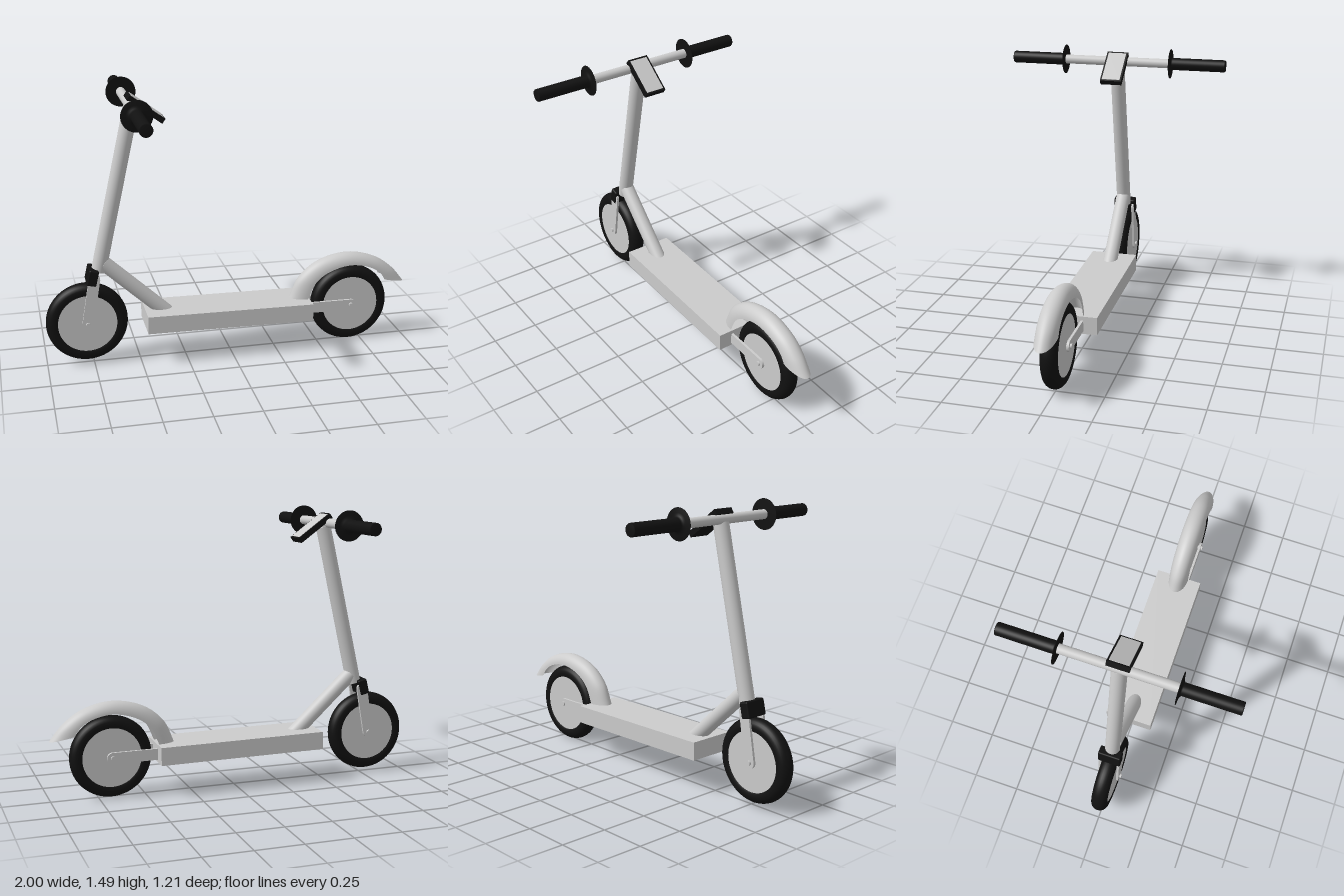
import * as THREE from 'three';
import { RoundedBoxGeometry } from 'three/addons/geometries/RoundedBoxGeometry.js';

const grey = new THREE.MeshStandardMaterial({ color: 0xcccccc });
const greyShell = new THREE.MeshStandardMaterial({ color: 0xcccccc, side: THREE.DoubleSide });
const black = new THREE.MeshStandardMaterial({ color: 0x111111 });
const V2 = (x, y) => new THREE.Vector2(x, y);

function add(parent, name, geometry, material, x = 0, y = 0, z = 0) {
  const mesh = new THREE.Mesh(geometry, material);
  mesh.name = name;
  mesh.position.set(x, y, z);
  parent.add(mesh);
  return mesh;
}

// Round bar between two points in the x-y plane
function bar(parent, name, [x1, y1], [x2, y2], r) {
  const mesh = add(parent, name, new THREE.CylinderGeometry(r, r, Math.hypot(x2 - x1, y2 - y1), 32), grey,
    (x1 + x2) / 2, (y1 + y2) / 2, 0);
  mesh.rotation.z = Math.atan2(y2 - y1, x2 - x1) - Math.PI / 2;
}

// Flat arm with rounded ends, lying in the x-y plane
function armGeometry([x1, y1], [x2, y2], r, depth) {
  const a = Math.atan2(y2 - y1, x2 - x1);
  const shape = new THREE.Shape();
  shape.absarc(x2, y2, r, a - Math.PI / 2, a + Math.PI / 2, false);
  shape.absarc(x1, y1, r, a + Math.PI / 2, a + Math.PI * 1.5, false);
  shape.closePath();
  return new THREE.ExtrudeGeometry(shape, { depth, bevelEnabled: false, curveSegments: 16 })
    .translate(0, 0, -depth / 2);
}

// Wheel: rounded tyre, solid disc, and a bolt on each side
function wheel(name, x, y) {
  const g = new THREE.Group();
  g.name = name;
  g.position.set(x, y, 0);
  const profile = [V2(0.155, -0.038), V2(0.165, -0.043), V2(0.178, -0.043)];
  for (let i = 0; i <= 12; i++) {
    const a = -Math.PI / 2 + (i / 12) * Math.PI;
    profile.push(V2(0.18 + 0.038 * Math.cos(a), 0.043 * Math.sin(a)));
  }
  profile.push(V2(0.165, 0.043), V2(0.155, 0.038));
  add(g, 'tyre', new THREE.LatheGeometry(profile, 64).rotateX(Math.PI / 2), black);
  add(g, 'wheelDisc', new THREE.CylinderGeometry(0.157, 0.157, 0.078, 64).rotateX(Math.PI / 2), grey);
  add(g, 'axle', new THREE.CylinderGeometry(0.012, 0.012, 0.134, 20).rotateX(Math.PI / 2), grey);
  return g;
}

// Mudguard: half-elliptical arch swept between an edge curve and a crest curve
function fenderGeometry() {
  const curve = pts => new THREE.CatmullRomCurve3(pts.map(([x, y]) => new THREE.Vector3(x, y, 0)));
  const edge = curve([[0.43, 0.27], [0.475, 0.365], [0.55, 0.422], [0.675, 0.453], [0.79, 0.43], [0.85, 0.39], [0.875, 0.352]]);
  const crest = curve([[0.337, 0.27], [0.39, 0.385], [0.50, 0.475], [0.67, 0.513], [0.83, 0.475], [0.93, 0.405], [1.0, 0.322]]);
  const rows = 48, cols = 20, position = [], index = [];
  for (let i = 0; i <= rows; i++) {
    const e = edge.getPoint(i / rows), c = crest.getPoint(i / rows);
    for (let j = 0; j <= cols; j++) {
      const a = (j / cols) * Math.PI;
      const p = e.clone().lerp(c, Math.sin(a));
      position.push(p.x, p.y, 0.055 * Math.cos(a));
      if (i < rows && j < cols) {
        const k = i * (cols + 1) + j, n = k + cols + 1;
        index.push(k, n, k + 1, k + 1, n, n + 1);
      }
    }
  }
  const g = new THREE.BufferGeometry();
  g.setAttribute('position', new THREE.Float32BufferAttribute(position, 3));
  g.setIndex(index);
  g.computeVertexNormals();
  return g;
}

export function createModel() {
  const model = new THREE.Group();
  model.name = 'kickScooter';

  // Wheels and mudguard
  const front = [-0.78, 0.24], rear = [0.68, 0.22];
  model.add(wheel('frontWheel', ...front), wheel('rearWheel', ...rear));
  add(model, 'rearFender', fenderGeometry(), greyShell);

  // Deck, tipped very slightly to the rear
  add(model, 'deck', new THREE.BoxGeometry(0.91, 0.096, 0.26), grey, -0.015, 0.23, 0).rotation.z = -0.011;

  // Fork legs and rear arms on both sides
  for (const side of [1, -1]) {
    add(model, 'forkLeg', armGeometry([-0.737, 0.49], front, 0.03, 0.013), grey, 0, 0, side * 0.051);
    add(model, 'rearArm', armGeometry([0.4, 0.222], rear, 0.03, 0.013), grey, 0, 0, side * 0.051);
  }
  add(model, 'forkCrown', new RoundedBoxGeometry(0.052, 0.085, 0.126, 2, 0.008), black, -0.745, 0.499, 0).rotation.z = -0.23;

  // Steering column and down tube
  bar(model, 'stem', [-0.708, 0.52], [-0.512, 1.39], 0.04);
  bar(model, 'downTube', [-0.685, 0.565], [-0.345, 0.25], 0.04);

  // Handlebar with flared grips
  const bars = new THREE.Group();
  bars.name = 'handlebar';
  bars.position.set(-0.525, 1.408, 0);
  model.add(bars);
  add(bars, 'crossbar', new THREE.CylinderGeometry(0.025, 0.025, 1.1, 32).rotateX(Math.PI / 2), grey);
  const grip = [V2(0, 0.298), V2(0.08, 0.299), V2(0.08, 0.301), V2(0.055, 0.304), V2(0.04, 0.308),
    V2(0.033, 0.315), V2(0.033, 0.6), V2(0.03, 0.605), V2(0, 0.605)];
  for (const side of [1, -1]) {
    add(bars, 'grip', new THREE.LatheGeometry(grip, 40).rotateX(side * Math.PI / 2), black);
  }

  // Sloping display with a raised screen
  const display = new THREE.Group();
  display.name = 'display';
  display.position.set(-0.443, 1.384, 0);
  display.rotation.z = -0.63;
  model.add(display);
  add(display, 'displayCase', new THREE.BoxGeometry(0.22, 0.03, 0.118), black);
  add(display, 'screen', new THREE.BoxGeometry(0.2, 0.004, 0.1), grey, 0, 0.015, 0);

  return model;
}
